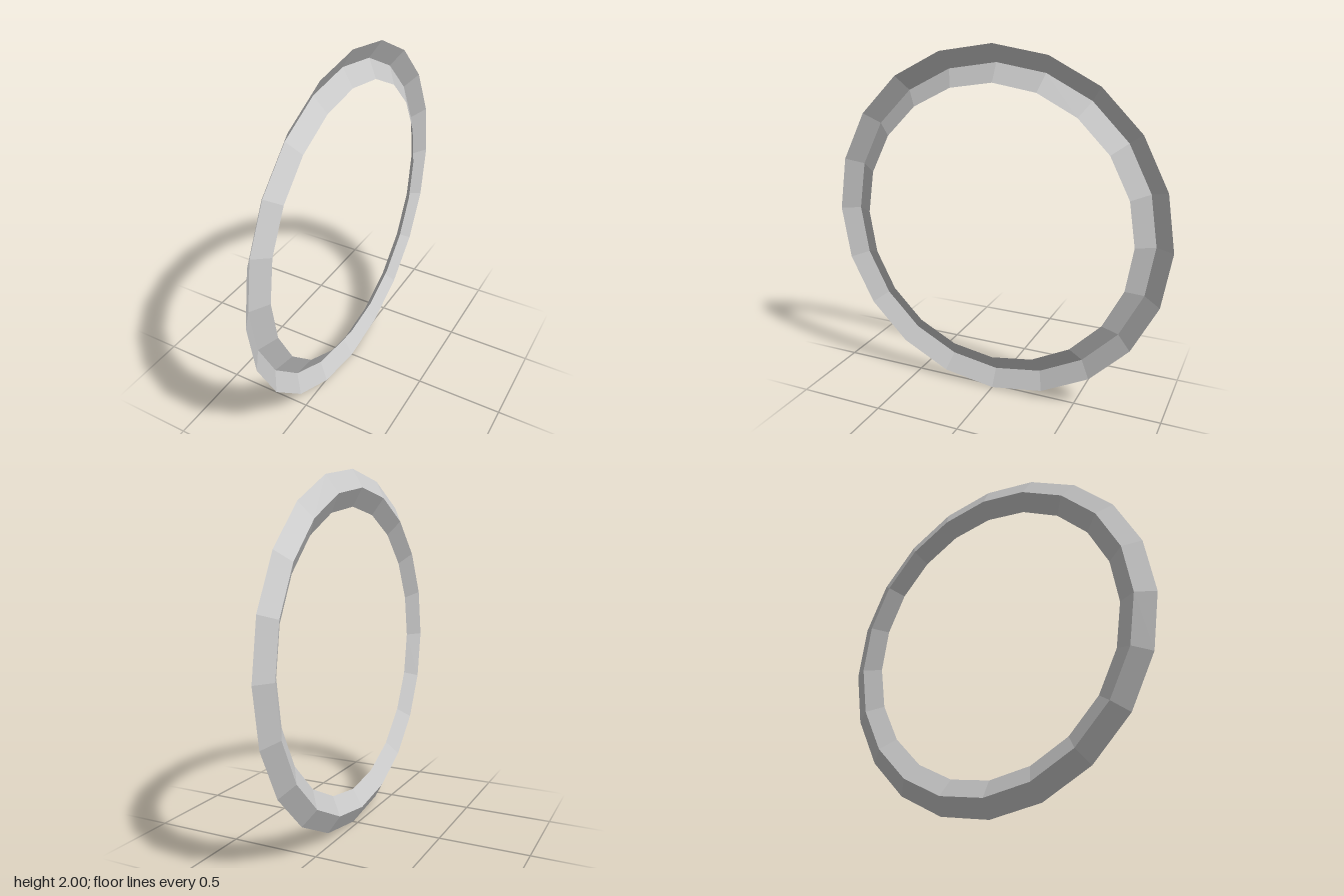
import * as THREE from 'three';

export function createModel() {
  const group = new THREE.Group();
  const material = new THREE.MeshStandardMaterial({
    color: 0xcccccc, flatShading: true, side: THREE.DoubleSide,
  });

  // V-shaped section: outer lip, groove bottom, inner lip (radius, offset along the axle)
  const section = [[1, 0.029], [0.9, -0.029], [0.8, 0.029]]
    .map(([r, x]) => new THREE.Vector2(r, x));

  // Thin 20-sided ring, its axle turned to lie along x, groove open toward +x
  const geometry = new THREE.LatheGeometry(section, 20);
  geometry.rotateZ(-Math.PI / 2);
  geometry.translate(0, 1, 0);

  const rim = new THREE.Mesh(geometry, material);
  rim.name = 'groovedRim';
  group.add(rim);
  return group;
}
